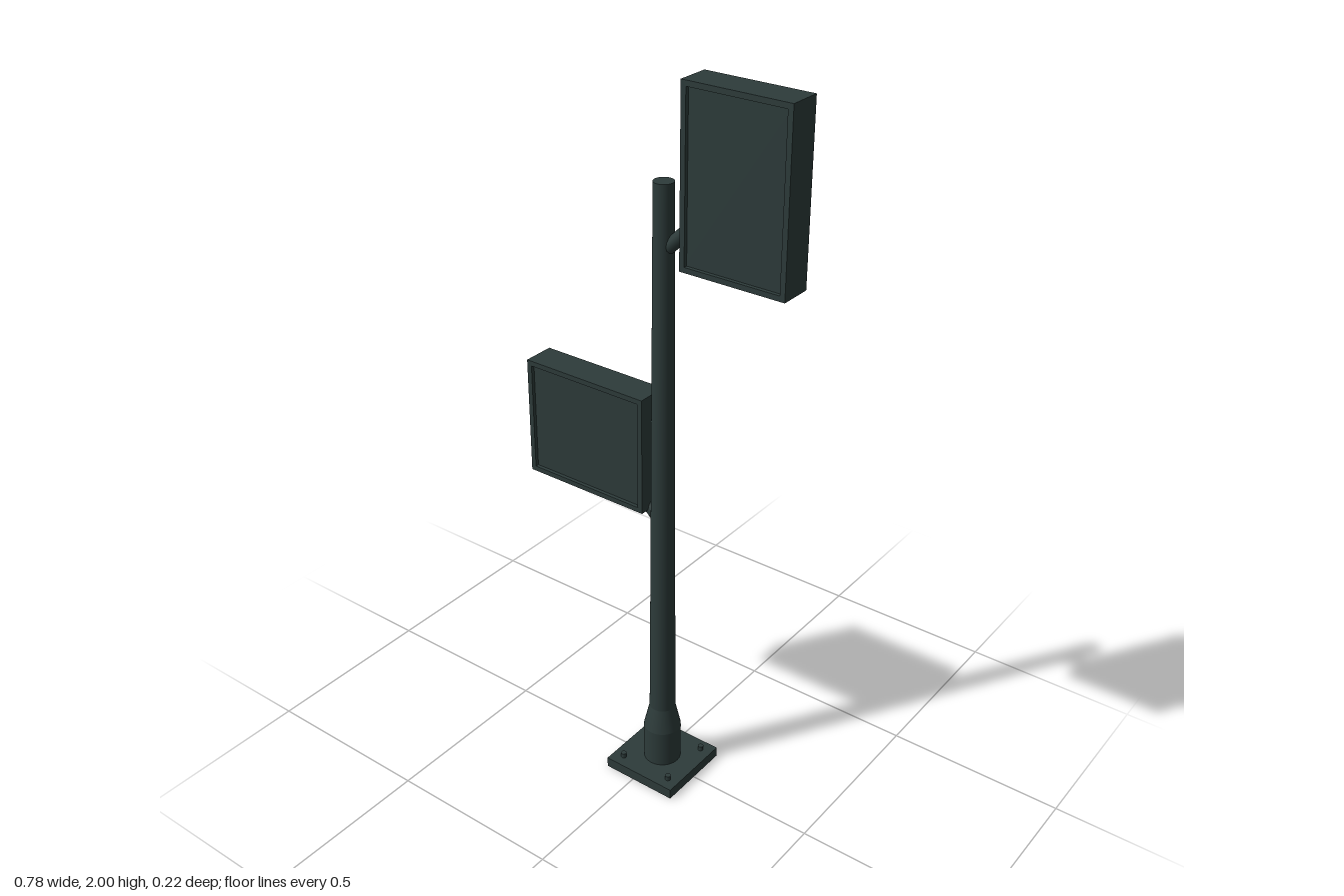
import * as THREE from 'three';

const POLE_X = 0.02;

export function createModel() {
  const model = new THREE.Group();
  const paint = new THREE.MeshStandardMaterial({ color: 0x2d3b3a });
  paint.name = 'dark green paint';

  const add = (parent, name, geometry, x = 0, y = 0, z = 0) => {
    const mesh = new THREE.Mesh(geometry, paint);
    mesh.name = name;
    mesh.position.set(x, y, z);
    parent.add(mesh);
    return mesh;
  };

  // Base plate with four anchor bolts
  const base = new THREE.Group();
  base.name = 'base';
  base.position.x = POLE_X;
  model.add(base);
  add(base, 'basePlate', new THREE.BoxGeometry(0.222, 0.03, 0.222), 0, 0.015, 0);
  for (const sx of [-1, 1]) {
    for (const sz of [-1, 1]) {
      add(base, 'anchorBolt', new THREE.CylinderGeometry(0.008, 0.008, 0.016, 10), sx * 0.078, 0.036, sz * 0.078);
    }
  }

  // Flared foot and slightly tapered pole
  const tube = (name, y0, y1, r0, r1, open = true) =>
    add(model, name, new THREE.CylinderGeometry(r1, r0, y1 - y0, 24, 1, open), POLE_X, (y0 + y1) / 2, 0);
  tube('foot', 0.03, 0.14, 0.052, 0.052);
  tube('footTaper', 0.14, 0.21, 0.052, 0.036);
  tube('pole', 0.21, 1.74, 0.036, 0.026, false);

  // Sign box: solid back with a raised rim around the recessed front
  const signBox = (name, x0, x1, y0, y1) => {
    const sign = new THREE.Group();
    sign.name = name;
    sign.position.set((x0 + x1) / 2, (y0 + y1) / 2, 0);
    model.add(sign);
    const w = x1 - x0, h = y1 - y0, rim = 0.014, depth = 0.01, back = -0.045, front = 0.043;
    add(sign, 'signBody', new THREE.BoxGeometry(w, h, front - depth - back), 0, 0, (front - depth + back) / 2);
    const outline = new THREE.Shape([[-1, -1], [1, -1], [1, 1], [-1, 1]]
      .map(([x, y]) => new THREE.Vector2(x * w / 2, y * h / 2)));
    outline.holes.push(new THREE.Path([[-1, -1], [-1, 1], [1, 1], [1, -1]]
      .map(([x, y]) => new THREE.Vector2(x * (w / 2 - rim), y * (h / 2 - rim)))));
    add(sign, 'signRim', new THREE.ExtrudeGeometry(outline, { depth, bevelEnabled: false }), 0, 0, front - depth);
  };
  signBox('upperSign', 0.097, 0.387, 1.55, 2.0);
  signBox('lowerSign', -0.39, -0.015, 0.845, 1.175);

  // Slanted arms joining the signs to the pole
  const arm = (name, x0, y0, x1, y1) => {
    const dir = new THREE.Vector3(x1 - x0, y1 - y0, 0);
    const mesh = add(model, name, new THREE.CylinderGeometry(0.018, 0.018, dir.length(), 16), (x0 + x1) / 2, (y0 + y1) / 2, 0);
    mesh.quaternion.setFromUnitVectors(new THREE.Vector3(0, 1, 0), dir.normalize());
  };
  arm('upperArm', 0.02, 1.567, 0.12, 1.664);
  arm('lowerArm', 0.02, 0.807, -0.08, 0.904);

  return model;
}
